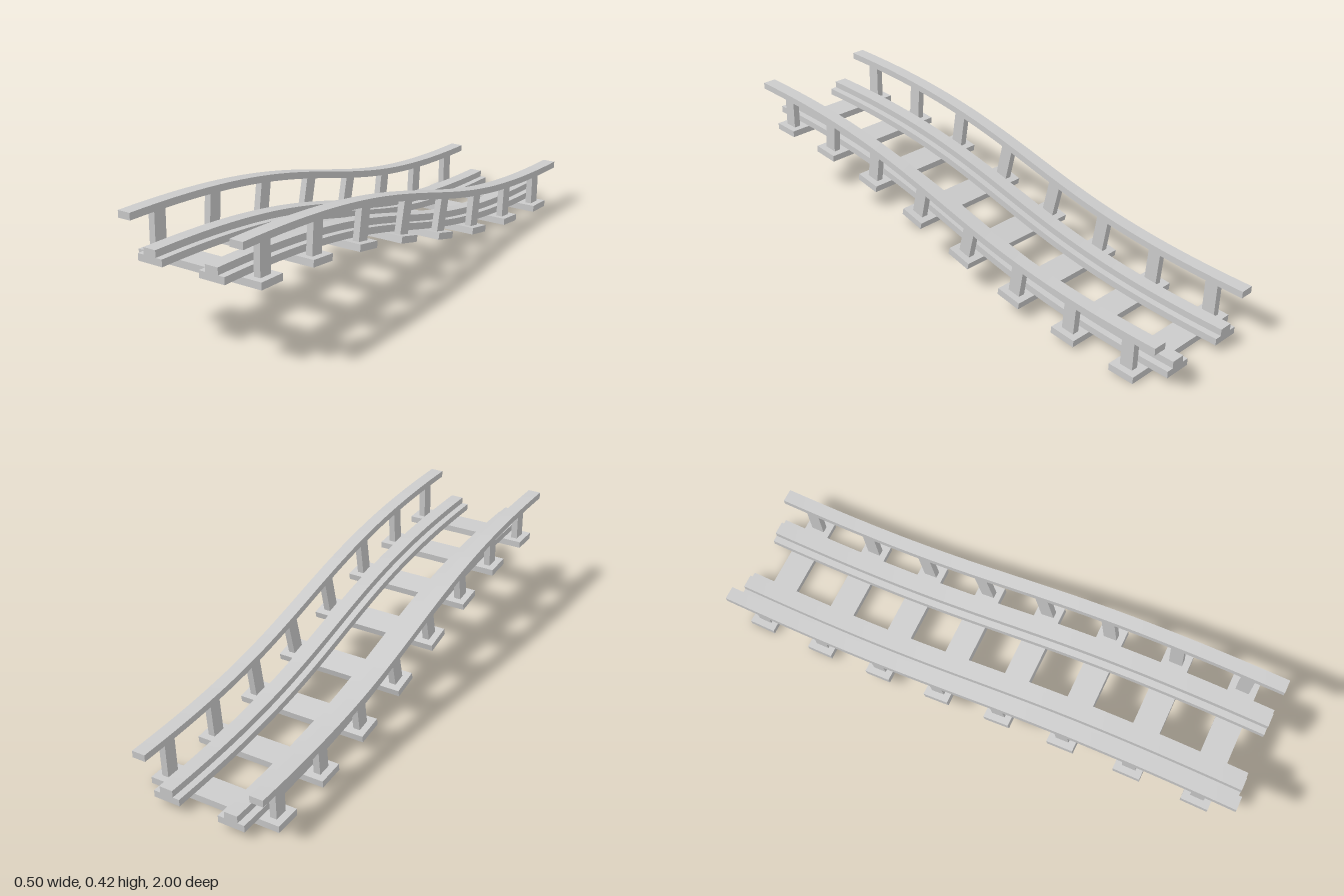
import * as THREE from 'three';
import { toCreasedNormals } from 'three/addons/utils/BufferGeometryUtils.js';

const material = new THREE.MeshStandardMaterial({ color: 0xcccccc });

// Slope of the track in the (z, y) plane: high at the front, low at the back
const path = new THREE.CubicBezierCurve(
  new THREE.Vector2(1, 0.25), new THREE.Vector2(0, 0.25),
  new THREE.Vector2(0, 0), new THREE.Vector2(-1, 0)
);
const SEGMENTS = 40;
const TIES = 8;

// Point, raised along the curve's normal
function raised(u, height) {
  const t = path.getTangentAt(u);
  return path.getPointAt(u).add(new THREE.Vector2(t.y, -t.x).multiplyScalar(height));
}

// Bar following the slope, between two heights and two x positions
function slopedBar(name, x0, x1, low, high) {
  const points = [];
  for (let i = 0; i <= SEGMENTS; i++) points.push(raised(i / SEGMENTS, low));
  for (let i = SEGMENTS; i >= 0; i--) points.push(raised(i / SEGMENTS, high));
  const extruded = new THREE.ExtrudeGeometry(new THREE.Shape(points), {
    depth: x1 - x0, steps: 1, bevelEnabled: false,
  });
  extruded.translate(0, 0, -(x1 - x0) / 2).rotateY(-Math.PI / 2);
  const mesh = new THREE.Mesh(toCreasedNormals(extruded, 0.5), material);
  mesh.name = name;
  mesh.position.x = (x0 + x1) / 2;
  return mesh;
}

function box(name, width, height, depth, x, y) {
  const mesh = new THREE.Mesh(new THREE.BoxGeometry(width, height, depth), material);
  mesh.name = name;
  mesh.position.set(x, y, 0);
  return mesh;
}

export function createModel() {
  const model = new THREE.Group();
  model.name = 'slopedTrack';

  // Rails and handrails on both sides
  for (const [side, s] of [['left', 1], ['right', -1]]) {
    const bar = (name, a, b, low, high) =>
      model.add(slopedBar(side + name, Math.min(s * a, s * b), Math.max(s * a, s * b), low, high));
    bar('RailBase', 0.075, 0.175, 0.025, 0.05);
    bar('RailHead', 0.1, 0.15, 0.05, 0.075);
    bar('Handrail', 0.2, 0.25, 0.15, 0.175);
  }

  // Cross ties with handrail posts, tilted with the slope
  for (let i = 0; i < TIES; i++) {
    const u = (i + 0.5) / TIES;
    const p = path.getPointAt(u);
    const t = path.getTangentAt(u);
    const support = new THREE.Group();
    support.name = 'support' + (i + 1);
    support.position.set(0, p.y, p.x);
    support.rotation.x = Math.atan2(t.y, -t.x);
    support.add(box('tie', 0.5, 0.025, 0.1, 0, 0.0125));
    support.add(box('leftPost', 0.025, 0.126, 0.05, 0.2125, 0.0875));
    support.add(box('rightPost', 0.025, 0.126, 0.05, -0.2125, 0.0875));
    model.add(support);
  }
  return model;
}
